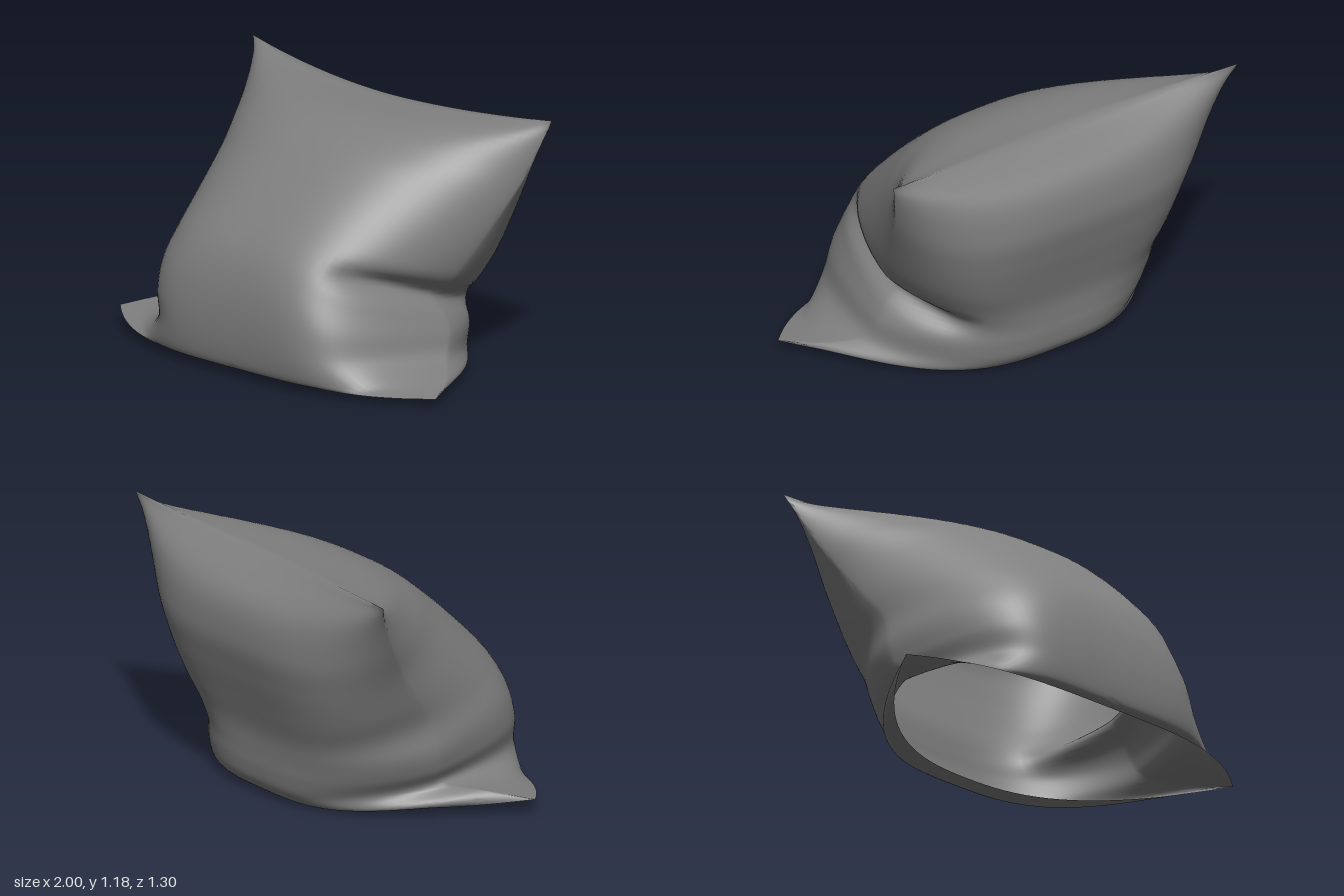
import * as THREE from 'three';
import { mergeGeometries, mergeVertices, toCreasedNormals } from 'three/addons/utils/BufferGeometryUtils.js';

const curve = (pts) => new THREE.CatmullRomCurve3(pts.map((p) => new THREE.Vector3(...p)), false, 'catmullrom', 0.5);

// Middle lines of the panels, bottom hem to top hem, as [fullness, y, z]:
// the higher the fullness, the boxier the panel at that height
const frontLine = curve([[3.6, 0.035, 0.6], [4.5, 0.06, 0.635], [6, 0.17, 0.65], [5.6, 0.31, 0.645], [4.6, 0.46, 0.615], [3.7, 0.6, 0.55],
  [3.1, 0.75, 0.42], [2.8, 0.91, 0.25], [2.6, 1.03, 0.09], [2.3, 1.105, -0.11], [1.8, 1.125, -0.4]]);
const backLine = curve([[2.5, 0.012, -0.36], [3, 0.005, -0.44], [3, 0.06, -0.505], [3, 0.14, -0.525], [3.3, 0.23, -0.53], [4, 0.33, -0.54],
  [4.4, 0.46, -0.575], [4.2, 0.62, -0.62], [3.5, 0.79, -0.65], [2.6, 0.985, -0.605], [1.8, 1.125, -0.4]]);

// Side seams, ear tip to top corner, as [x, y, z]
const leftSeam = curve([[1, 0.04, 0.34], [0.9, 0.07, 0.17], [0.76, 0.12, 0.02], [0.72, 0.22, -0.04], [0.68, 0.33, -0.05], [0.7, 0.44, -0.07],
  [0.76, 0.58, -0.16], [0.82, 0.74, -0.26], [0.88, 0.91, -0.36], [0.94, 1.11, -0.44], [0.96, 1.18, -0.46]]);
const rightSeam = curve([[-1, 0.08, 0.33], [-0.87, 0.12, 0.16], [-0.72, 0.145, 0.02], [-0.75, 0.23, -0.02], [-0.77, 0.33, -0.04], [-0.76, 0.47, -0.07],
  [-0.79, 0.6, -0.17], [-0.83, 0.76, -0.29], [-0.89, 0.92, -0.39], [-0.95, 1.11, -0.49], [-0.98, 1.18, -0.52]]);

// Slanting fold that pinches the left side of the cushion
function pinch(p) {
  const d = p.y - (0.395 + 0.3 * p.z);
  const k = Math.exp(-((d / 0.055) ** 2)) * THREE.MathUtils.smoothstep(p.x, 0.4, 0.66);
  p.x *= 1 - 0.11 * k;
  p.z *= 1 - 0.14 * k;
  return p;
}

// One fabric panel, stretched from its middle line out to both side seams
function panel(line, isBack) {
  const cols = 56, rows = 60, pos = [], index = [];
  for (let j = 0; j <= rows; j++) {
    const t = j / rows;
    const mid = line.getPoint(t), left = leftSeam.getPoint(t), right = rightSeam.getPoint(t);
    const round = 1 - 0.3 * Math.sin(Math.PI * t);
    for (let i = 0; i <= cols; i++) {
      const s = Math.sin((i / cols - 0.5) * Math.PI), a = Math.abs(s);
      const seam = s < 0 ? right : left;
      const w = 1 - Math.max(0, 1 - a ** mid.x) ** round;
      const p = pinch(new THREE.Vector3(
        seam.x * a,
        THREE.MathUtils.lerp(mid.y, seam.y, w),
        THREE.MathUtils.lerp(mid.z, seam.z, w)));
      pos.push(p.x, Math.max(0, p.y), p.z);
      if (i < cols && j < rows) {
        const q = j * (cols + 1) + i, u = q + cols + 1;
        if (isBack) index.push(q, u, q + 1, q + 1, u, u + 1);
        else index.push(q, q + 1, u, q + 1, u + 1, u);
      }
    }
  }
  const g = new THREE.BufferGeometry();
  g.setAttribute('position', new THREE.Float32BufferAttribute(pos, 3));
  g.setIndex(index);
  return g;
}

export function createModel() {
  const group = new THREE.Group();
  group.name = 'slumpedCushion';
  // Front and back panels joined at the sides and top, open underneath
  const sewn = mergeVertices(mergeGeometries([panel(frontLine, false), panel(backLine, true)]), 1e-4);
  const cover = new THREE.Mesh(toCreasedNormals(sewn, 1.9),
    new THREE.MeshStandardMaterial({ color: 0x7f7f7f, side: THREE.DoubleSide }));
  cover.name = 'cushionCover';
  group.add(cover);
  return group;
}
